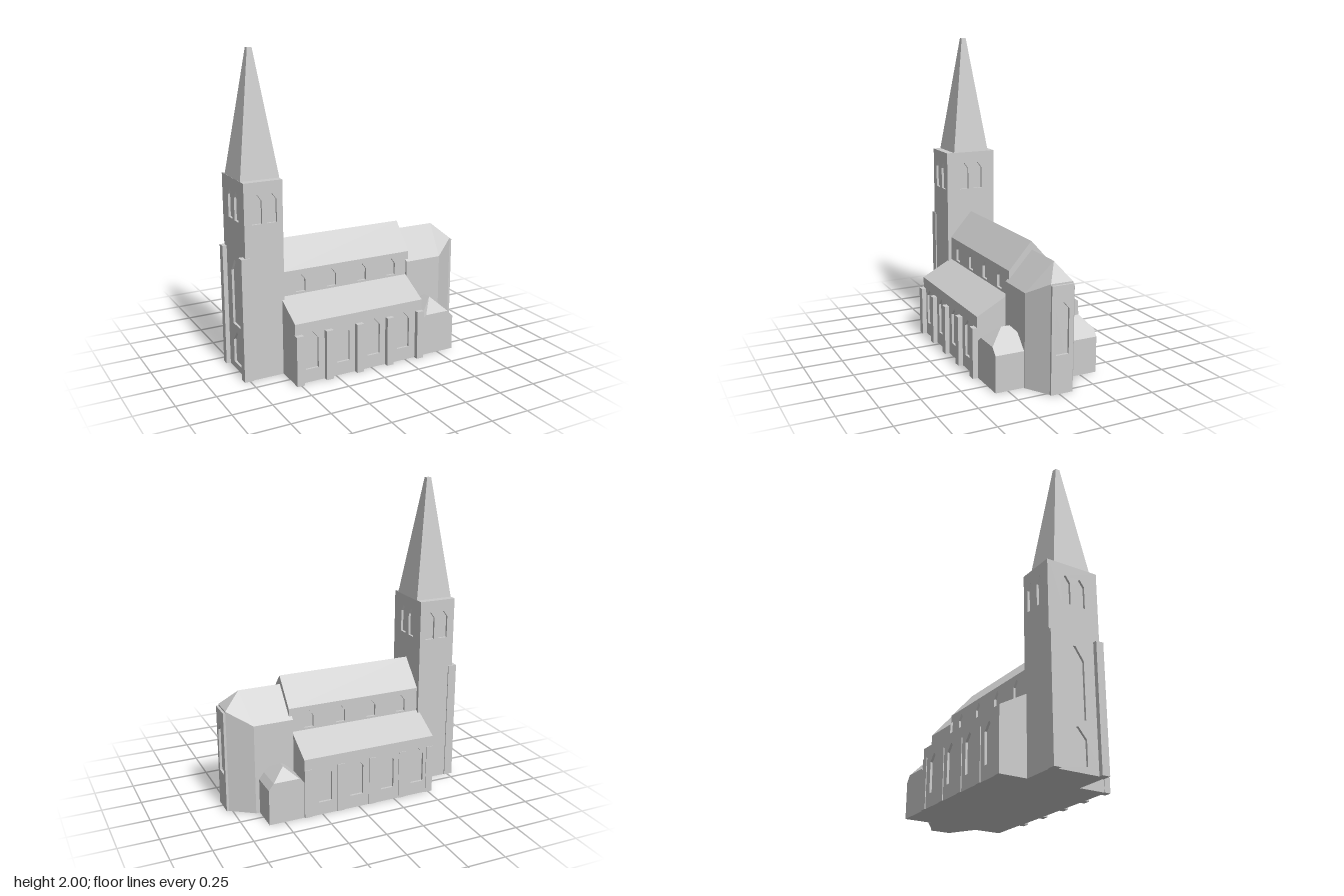
import * as THREE from 'three';
import { ConvexGeometry } from 'three/addons/geometries/ConvexGeometry.js';

const stone = new THREE.MeshStandardMaterial({ color: 0xcccccc });
stone.name = 'stone';
const T = 0.015; // depth of window recesses

export function createModel() {
  const root = new THREE.Group();
  root.name = 'church';

  // Every part gets crisp faceted normals
  function add(name, geometry) {
    const g = geometry.index ? geometry.toNonIndexed() : geometry;
    g.computeVertexNormals();
    const mesh = new THREE.Mesh(g, stone);
    mesh.name = name;
    root.add(mesh);
    return mesh;
  }

  function block(name, x0, x1, y0, y1, z0, z1) {
    const g = new THREE.BoxGeometry(x1 - x0, y1 - y0, z1 - z0);
    g.translate((x0 + x1) / 2, (y0 + y1) / 2, (z0 + z1) / 2);
    return add(name, g);
  }

  // Cross-section given as [z, y], extruded along x
  function alongX(name, points, x0, x1) {
    const shape = new THREE.Shape(points.map(([z, y]) => new THREE.Vector2(-z, y)));
    const g = new THREE.ExtrudeGeometry(shape, { depth: x1 - x0, bevelEnabled: false });
    g.rotateY(Math.PI / 2);
    g.translate(x0, 0, 0);
    return add(name, g);
  }

  // Wall slab with pointed openings; its outer face lies at `at` on the given side.
  // a0, a1 and window centres are world x (front, back) or z (left, right).
  const sides = {
    front: [0, 1], back: [Math.PI, -1], left: [Math.PI / 2, -1], right: [-Math.PI / 2, 1],
  };
  function wall(name, side, at, a0, a1, y0, y1, windows) {
    const [turn, s] = sides[side];
    const shape = new THREE.Shape();
    shape.moveTo(s * a0, y0).lineTo(s * a1, y0).lineTo(s * a1, y1).lineTo(s * a0, y1).closePath();
    for (const [c, w, bottom, spring, top] of windows) {
      const u = s * c, h = w / 2, hole = new THREE.Path();
      hole.moveTo(u - h, bottom).lineTo(u + h, bottom).lineTo(u + h, spring);
      hole.lineTo(u + h * 0.1, top).lineTo(u - h * 0.1, top).lineTo(u - h, spring).closePath();
      shape.holes.push(hole);
    }
    const g = new THREE.ExtrudeGeometry(shape, { depth: T, bevelEnabled: false });
    g.translate(0, 0, Math.abs(at) - T);
    g.rotateY(turn);
    return add(name, g);
  }

  // Tower: core, four pierced walls, spire and west buttresses
  const [tx0, tx1, tz0, tz1, th] = [-0.757, -0.51, -0.192, 0.155, 1.24];
  block('towerCore', tx0 + T, tx1 - T, 0, th, tz0 + T, tz1 - T);
  const bell = (c) => [c, 0.063, 0.985, 1.125, 1.165];
  const bellX = [-0.676, -0.581].map(bell), bellZ = [0.032, -0.068].map(bell);
  wall('towerFrontWall', 'front', tz1, tx0, tx1, 0, th, bellX);
  wall('towerBackWall', 'back', tz0, tx0, tx1, 0, th, bellX);
  wall('towerWestWall', 'right', tx0, tz0 + T, tz1 - T, 0, th,
    [...bellZ, [-0.02, 0.12, 0.04, 0.19, 0.255], [-0.02, 0.12, 0.3, 0.65, 0.73]]);
  const east = wall('towerEastWall', 'left', 1, tz0 + T, tz1 - T, 0, th, bellZ);
  east.position.x = tx1 - 1;
  const spire = new THREE.CylinderGeometry(0.015 * Math.SQRT2, 0.125 * Math.SQRT2, 0.76, 4);
  spire.rotateY(Math.PI / 4);
  spire.translate(-0.631, 1.62, -0.02);
  add('spire', spire);
  block('towerButtressFront', -0.785, -0.728, 0, 0.785, 0.112, 0.162);
  block('towerButtressBack', -0.785, -0.728, 0, 0.785, -0.199, -0.152);

  // Nave with clerestory windows
  const nz0 = -0.17, nz1 = 0.132, eave = 0.655;
  alongX('nave', [
    [nz1 - T, 0], [nz1 - T, eave], [nz1, eave], [-0.018, 0.825],
    [nz0, eave], [nz0 + T, eave], [nz0 + T, 0],
  ], -0.512, 0.39);
  const bays = [-0.414, -0.2, 0.016, 0.232];
  const upper = bays.map((x) => [x + 0.025, 0.063, 0.512, 0.588, 0.625]);
  wall('clerestoryFront', 'front', nz1, -0.512, 0.39, 0.4, eave, upper);
  wall('clerestoryBack', 'back', nz0, -0.512, 0.39, 0.4, eave, upper);

  // Side aisles with lean-to roofs and buttresses
  const lower = bays.map((x) => [x, 0.088, 0.085, 0.28, 0.325]);
  for (const [label, s, outer, inner, tip] of [
    ['front', 1, 0.335, 0.13, 0.365], ['back', -1, -0.366, -0.168, -0.371],
  ]) {
    const o = outer - s * T;
    alongX(label + 'Aisle', [[inner - s * 0.03, 0], [o, 0], [o, 0.39], [outer, 0.39],
      [inner, 0.5], [inner - s * 0.03, 0.5]], -0.525, 0.37);
    wall(label + 'AisleWall', label, outer, -0.525, 0.37, 0, 0.39, lower);
    for (const x of [-0.504, -0.304, -0.093, 0.124, 0.346]) {
      block(label + 'Buttress', x - 0.024, x + 0.024, 0, 0.32,
        Math.min(tip, outer - s * 0.01), Math.max(tip, outer - s * 0.01));
    }
  }

  const hull = (name, pts) =>
    add(name, new ConvexGeometry(pts.map((p) => new THREE.Vector3(...p))));

  // Choir with canted apse and hipped end
  const endX = 0.785 - T;
  const choir = [[0.37, 0.77, -0.022], [0.662, 0.77, -0.022]];
  for (const [zWall, zEnd] of [[0.145, 0.055], [-0.187, -0.088]]) {
    choir.push([0.37, 0, zWall], [0.37, 0.587, zWall], [0.625, 0, zWall], [0.625, 0.587, zWall],
      [endX, 0, zEnd], [endX, 0.67, zEnd]);
  }
  hull('choir', choir);
  wall('apseEndWall', 'left', 0.785, -0.088, 0.055, 0, 0.66, [[-0.016, 0.085, 0.24, 0.515, 0.56]]);

  // Side chapels with half-hipped roofs
  function chapel(name, x1, zIn, zOut, r0, r1, peak) {
    const x0 = 0.36, mid = (0.37 + x1) / 2;
    const pts = [[mid, peak, r0], [mid, peak, r1]];
    for (const z of [zIn, zOut]) {
      pts.push([x0, 0, z], [x1, 0, z], [x0, 0.23, z], [x1, 0.23, z],
        [mid - 0.083, 0.272, z], [mid + 0.083, 0.272, z]);
    }
    hull(name, pts);
  }
  chapel('frontChapel', 0.617, 0.1, 0.33, 0.18, 0.235, 0.355);
  chapel('backChapel', 0.6, -0.14, -0.362, -0.255, -0.3, 0.345);

  return root;
}
